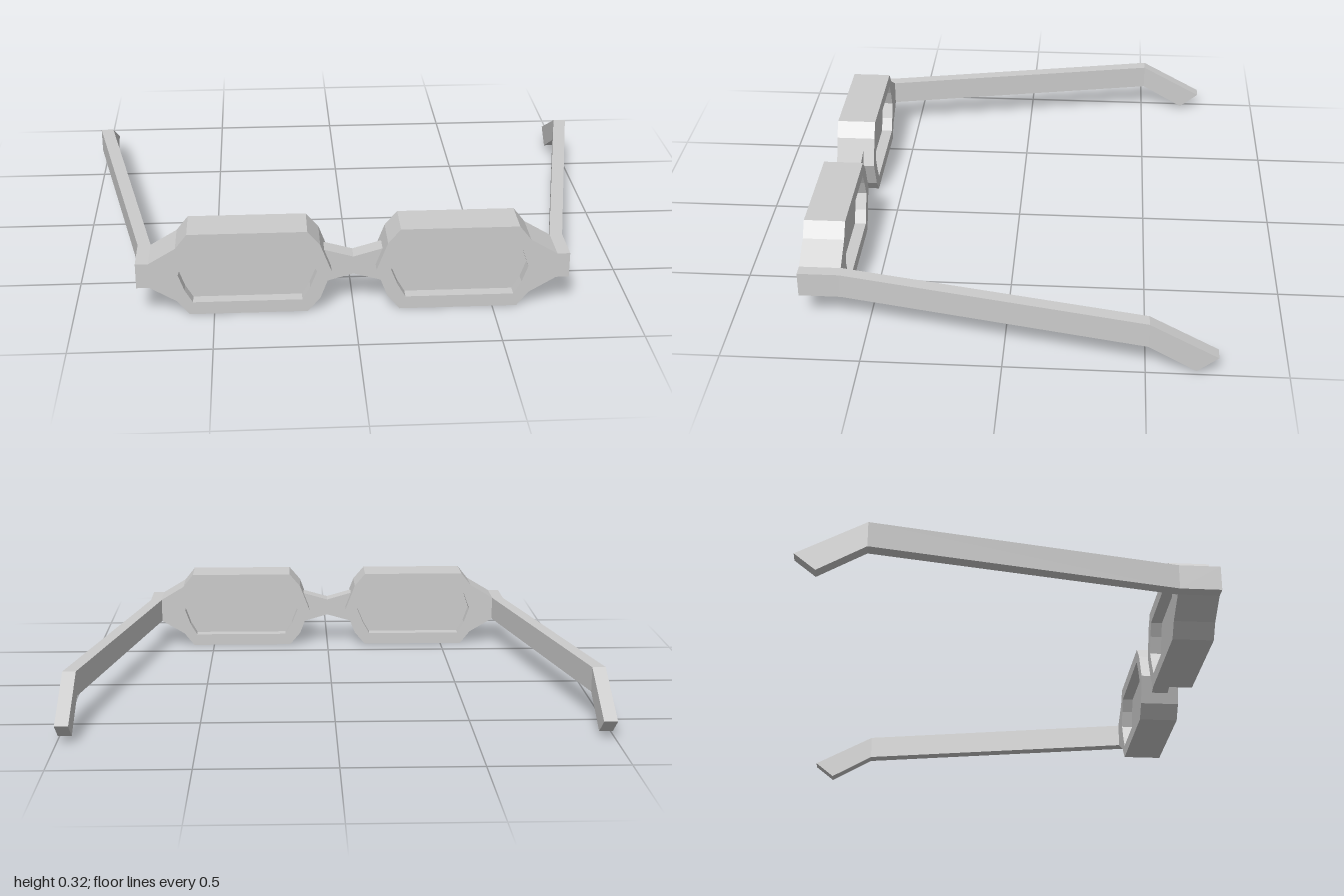
import * as THREE from 'three';

const material = new THREE.MeshStandardMaterial({ color: 0xcccccc, flatShading: true });
const MID_Y = 0.158; // height of the horizontal symmetry line
const MID_Z = 0.676; // centre of the frame's depth

// Mirrors an upper half outline (x, height above the midline) to a closed counter-clockwise ring
function ring(half, side) {
  const lower = half.filter(p => p[1] > 0).reverse().map(([x, h]) => [x, -h]);
  const points = [...half, ...lower].map(([x, h]) => new THREE.Vector2(side * x, MID_Y + h));
  return side > 0 ? points.reverse() : points;
}

function plate(name, outline, depth, hole) {
  const shape = new THREE.Shape(outline);
  if (hole) shape.holes.push(new THREE.Path(hole));
  const geometry = new THREE.ExtrudeGeometry(shape, { depth, bevelEnabled: false });
  geometry.translate(0, 0, MID_Z - depth / 2);
  const mesh = new THREE.Mesh(geometry, material);
  mesh.name = name;
  return mesh;
}

// Rectangular arm lofted through three cross-sections: hinge, bend and tip
function temple(name, side) {
  // inner x, outer x, bottom [y, z], top [y, z]
  const sections = [
    [0.726, 0.773, [0.111, 0.6], [0.205, 0.6]],
    [0.95, 1.0, [0.111, -0.507], [0.205, -0.507]],
    [0.95, 1.0, [0.014, -0.677], [0.074, -0.752]],
  ];
  const positions = sections.flatMap(([xi, xo, b, t]) =>
    [[xi, ...b], [xo, ...b], [xo, ...t], [xi, ...t]].flatMap(([x, y, z]) => [side * x, y, z]));
  const index = [0, 1, 2, 0, 2, 3, 8, 10, 9, 8, 11, 10]; // end caps
  for (let s = 0; s < 8; s += 4) {
    for (let i = 0; i < 4; i++) {
      const a = s + i, b = s + (i + 1) % 4;
      index.push(a, a + 4, b + 4, a, b + 4, b);
    }
  }
  if (side < 0) index.reverse(); // keep faces outward on the mirrored arm
  let geometry = new THREE.BufferGeometry();
  geometry.setAttribute('position', new THREE.Float32BufferAttribute(positions, 3));
  geometry.setIndex(index);
  geometry = geometry.toNonIndexed();
  geometry.computeVertexNormals();
  const mesh = new THREE.Mesh(geometry, material);
  mesh.name = name;
  return mesh;
}

export function createModel() {
  const group = new THREE.Group();
  group.name = 'eyeglasses';

  const rim = [[0.08, 0], [0.12, 0.105], [0.165, 0.158], [0.588, 0.158], [0.63, 0.105], [0.727, 0.047], [0.773, 0.047]];
  const opening = [[0.132, 0], [0.157, 0.062], [0.185, 0.11], [0.575, 0.11], [0.603, 0.062], [0.625, 0]];

  for (const [label, side] of [['left', 1], ['right', -1]]) {
    // Rim with hinge block, lens recessed on both faces of the opening, and arm
    group.add(plate(label + 'Rim', ring(rim, side), 0.152, ring(opening, side)));
    group.add(plate(label + 'Lens', ring(opening, side), 0.065));
    group.add(temple(label + 'Temple', side));
  }

  // Bridge pinched at the middle
  group.add(plate('bridge', ring([[-0.105, 0.064], [0, 0.034], [0.105, 0.064]], 1), 0.065));
  return group;
}
